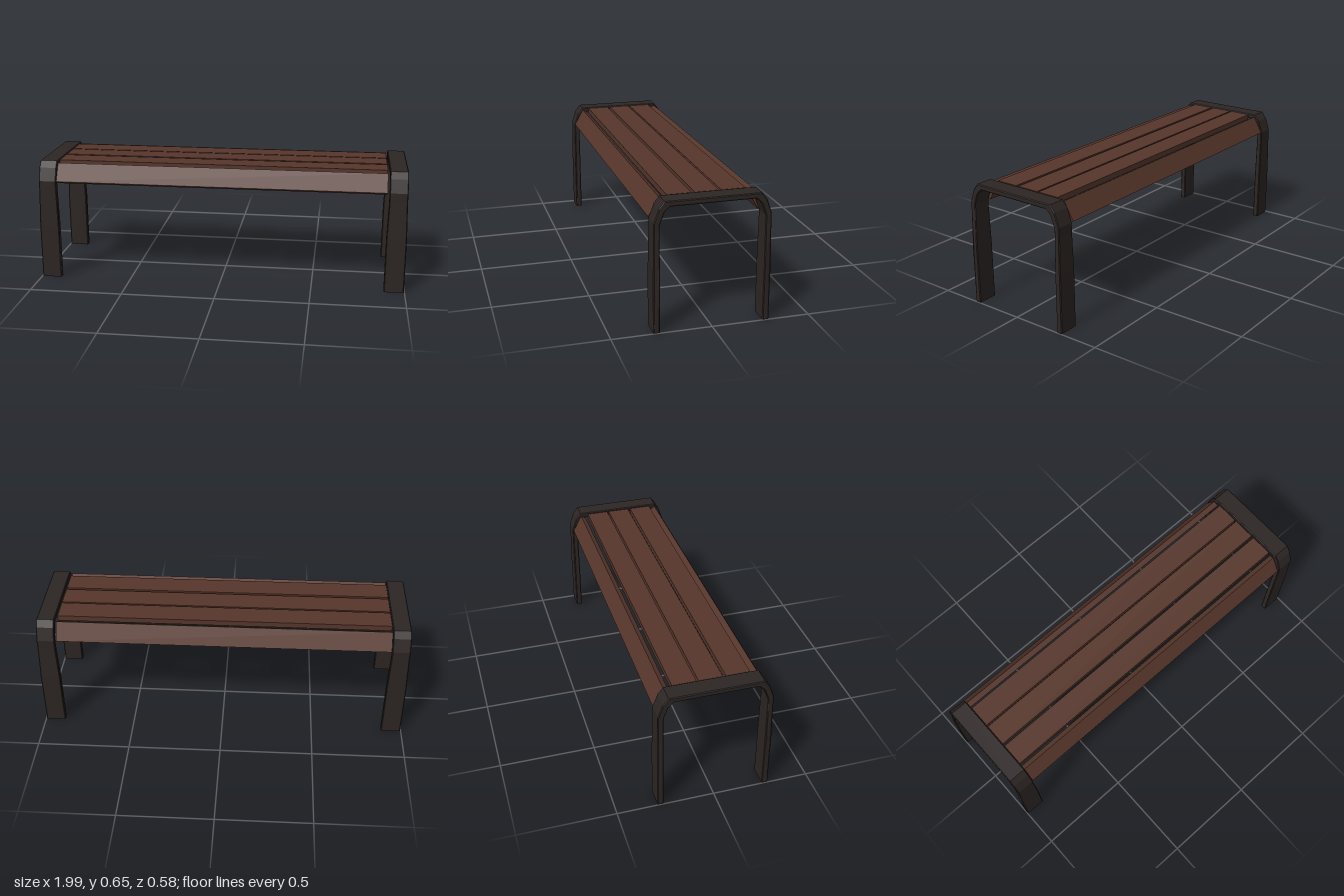
import * as THREE from 'three';

const wood = new THREE.MeshStandardMaterial({ color: 0x56362b });
const metal = new THREE.MeshStandardMaterial({ color: 0x2c2523 });

// Half of the arch outline as [z, y], from foot to top
const OUTER = [[0.292, 0], [0.292, 0.3], [0.289, 0.5], [0.289, 0.55], [0.264, 0.62], [0.237, 0.654]];
const INNER = [[0.26, 0], [0.26, 0.3], [0.26, 0.5], [0.26, 0.54], [0.238, 0.6], [0.21, 0.627]];

// Arched end frame: chamfered band, its legs widening towards the feet
function makeFrame(name) {
  const mirror = (pts) => pts.map(([z, y]) => [-z, y]).reverse();
  const outline = [...OUTER, ...mirror(OUTER), ...INNER.map(([z, y]) => [-z, y]), ...[...INNER].reverse()];
  const shape = new THREE.Shape(outline.map(([z, y]) => new THREE.Vector2(z, y)));
  const bevel = 0.004, width = 0.096;
  const geo = new THREE.ExtrudeGeometry(shape, {
    depth: width - 2 * bevel, bevelEnabled: true, bevelSegments: 1,
    bevelSize: bevel, bevelThickness: bevel, bevelOffset: -bevel,
  });
  geo.translate(0, 0, bevel - width / 2);
  geo.rotateY(-Math.PI / 2);
  // The extrusion now runs along -x and the outline lies in z and y
  const p = geo.attributes.position;
  for (let i = 0; i < p.count; i++) {
    const flare = THREE.MathUtils.clamp((0.5 - p.getY(i)) / 0.2, 0, 1);
    p.setX(i, p.getX(i) * (1 + 0.12 * flare));
    if (p.getY(i) < 0.01) p.setY(i, 0);
  }
  geo.computeVertexNormals();
  const frame = new THREE.Mesh(geo, metal);
  frame.name = name;
  return frame;
}

// Long plank running between the frames
function makePlank(name, height, depth, y, z, tilt = 0) {
  const plank = new THREE.Mesh(new THREE.BoxGeometry(1.778, height, depth), wood);
  plank.position.set(-0.004, y, z);
  plank.rotation.x = tilt;
  plank.name = name;
  return plank;
}

export function createModel() {
  const bench = new THREE.Group();
  bench.name = 'bench';

  for (const side of [1, -1]) {
    const frame = makeFrame(side > 0 ? 'leftFrame' : 'rightFrame');
    frame.position.x = side * 0.943;
    bench.add(frame);
  }

  // Flat seat slats
  [0.137, 0, -0.132].forEach((z, i) => {
    bench.add(makePlank('seatSlat' + (i + 1), 0.03, 0.122, 0.635, z));
  });

  // Slanted planks along the front and back edges
  for (const side of [1, -1]) {
    const name = side > 0 ? 'frontEdgePlank' : 'backEdgePlank';
    bench.add(makePlank(name, 0.106, 0.03, 0.5885, side * 0.248, -side * 0.514));
  }
  return bench;
}
